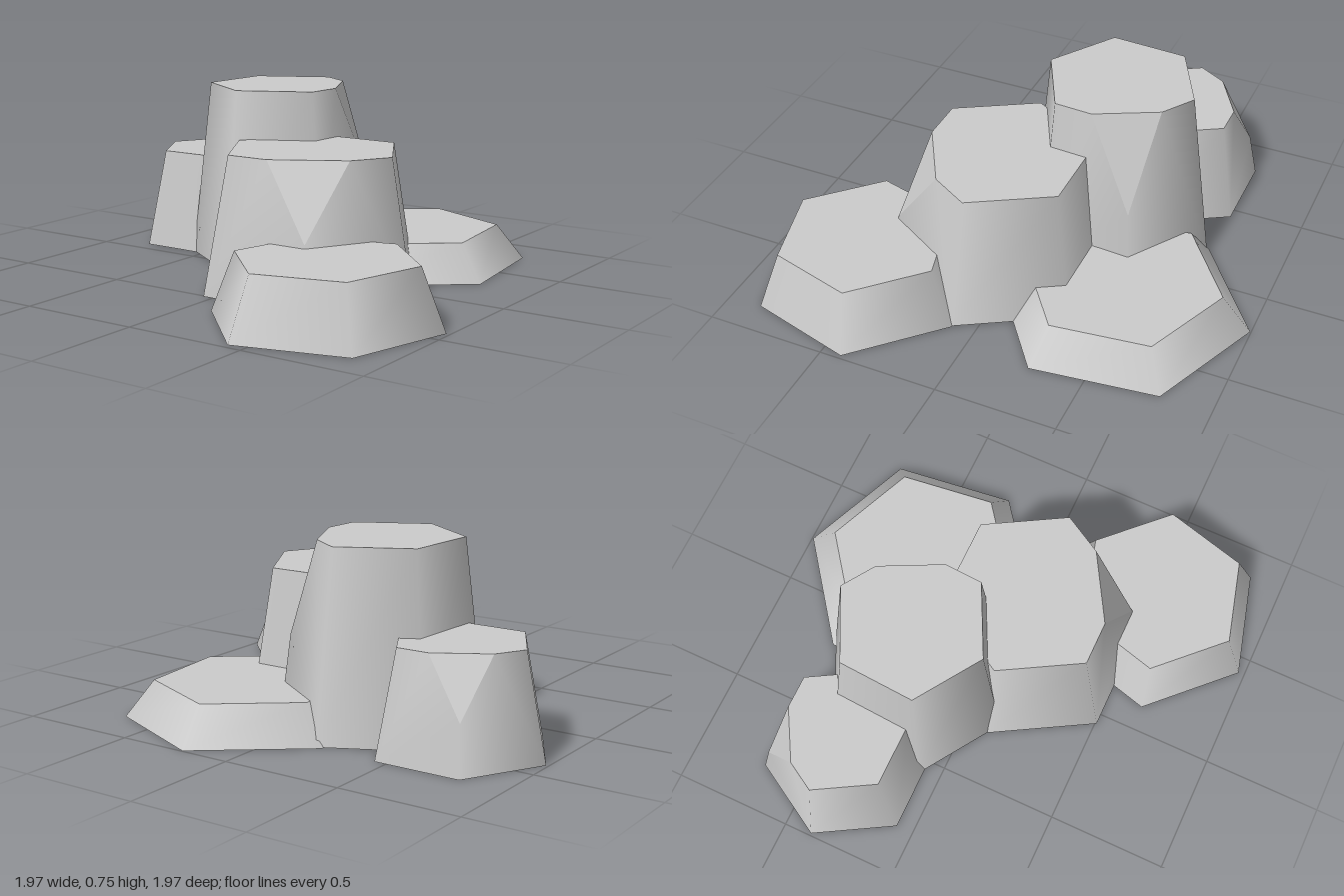
import * as THREE from 'three';

const CHIP_DEPTH = 0.46; // how far up the edge a corner chip starts

// Tapered six-sided rock column with smooth sides, flat caps and, optionally, one chipped top corner.
function rockGeometry({ base, top, rBase, rTop, height, turn, chip = -1 }) {
  const pos = [], nor = [];
  const ring = (c, r, y) => Array.from({ length: 6 }, (_, i) => {
    const a = THREE.MathUtils.degToRad(turn + i * 60);
    return new THREE.Vector3(c[0] + r * Math.cos(a), y, c[1] + r * Math.sin(a));
  });
  const b = ring(base, rBase, 0), t = ring(top, rTop, height);

  // Fan of triangles; normals are smooth around the column or flat
  const addFace = (pts, smooth) => {
    const flat = new THREE.Vector3().crossVectors(
      pts[1].clone().sub(pts[0]), pts[2].clone().sub(pts[0])).normalize();
    const put = (p) => {
      let n = flat;
      if (smooth) {
        const k = p.y / height;
        n = new THREE.Vector3(
          p.x - THREE.MathUtils.lerp(base[0], top[0], k), 0,
          p.z - THREE.MathUtils.lerp(base[1], top[1], k)).normalize();
        n.y = (rBase - rTop) / height;
        n.normalize();
      }
      pos.push(p.x, p.y, p.z);
      nor.push(n.x, n.y, n.z);
    };
    for (let i = 1; i < pts.length - 1; i++) [pts[0], pts[i], pts[i + 1]].forEach(put);
  };

  // Chip points: halfway along both top edges, and part way up the corner
  const prev = (chip + 5) % 6, next = (chip + 1) % 6;
  const chipped = chip >= 0;
  const p = chipped && t[chip].clone().lerp(t[prev], 0.5);
  const q = chipped && t[chip].clone().lerp(t[next], 0.5);
  const apex = chipped && b[chip].clone().lerp(t[chip], CHIP_DEPTH);

  // Sides
  for (let i = 0; i < 6; i++) {
    const j = (i + 1) % 6;
    if (i === chip) addFace([b[j], b[i], apex, q, t[j]], true);
    else if (j === chip) addFace([b[i], t[i], p, apex, b[j]], true);
    else addFace([b[j], b[i], t[i], t[j]], true);
  }
  if (chipped) addFace([apex, p, q], false);

  // Caps
  const rim = t.flatMap((v, i) => (i === chip ? [p, q] : [v]));
  addFace(rim.reverse(), false);
  addFace(b, false);

  const g = new THREE.BufferGeometry();
  g.setAttribute('position', new THREE.Float32BufferAttribute(pos, 3));
  g.setAttribute('normal', new THREE.Float32BufferAttribute(nor, 3));
  return g;
}

export function createModel() {
  const group = new THREE.Group();
  group.name = 'rockCluster';
  const material = new THREE.MeshStandardMaterial({ color: 0xcccccc });

  // Centres are [x, z]; chip is the index of the broken corner
  const rocks = {
    rightRock: { base: [-0.63, -0.385], top: [-0.63, -0.385], rBase: 0.36, rTop: 0.272, height: 0.42, turn: 0, chip: 4 },
    tallRock: { base: [-0.2, -0.275], top: [-0.2, -0.262], rBase: 0.41, rTop: 0.318, height: 0.75, turn: 33.5, chip: 5 },
    middleRock: { base: [0.19, 0.1], top: [0.185, 0.085], rBase: 0.47, rTop: 0.368, height: 0.55, turn: 0, chip: 1 },
    frontRock: { base: [0.545, 0.535], top: [0.545, 0.535], rBase: 0.455, rTop: 0.36, height: 0.24, turn: -15 },
    backRock: { base: [0.275, -0.48], top: [0.275, -0.475], rBase: 0.52, rTop: 0.405, height: 0.15, turn: 23 },
  };
  for (const [name, spec] of Object.entries(rocks)) {
    const mesh = new THREE.Mesh(rockGeometry(spec), material);
    mesh.name = name;
    group.add(mesh);
  }
  return group;
}
